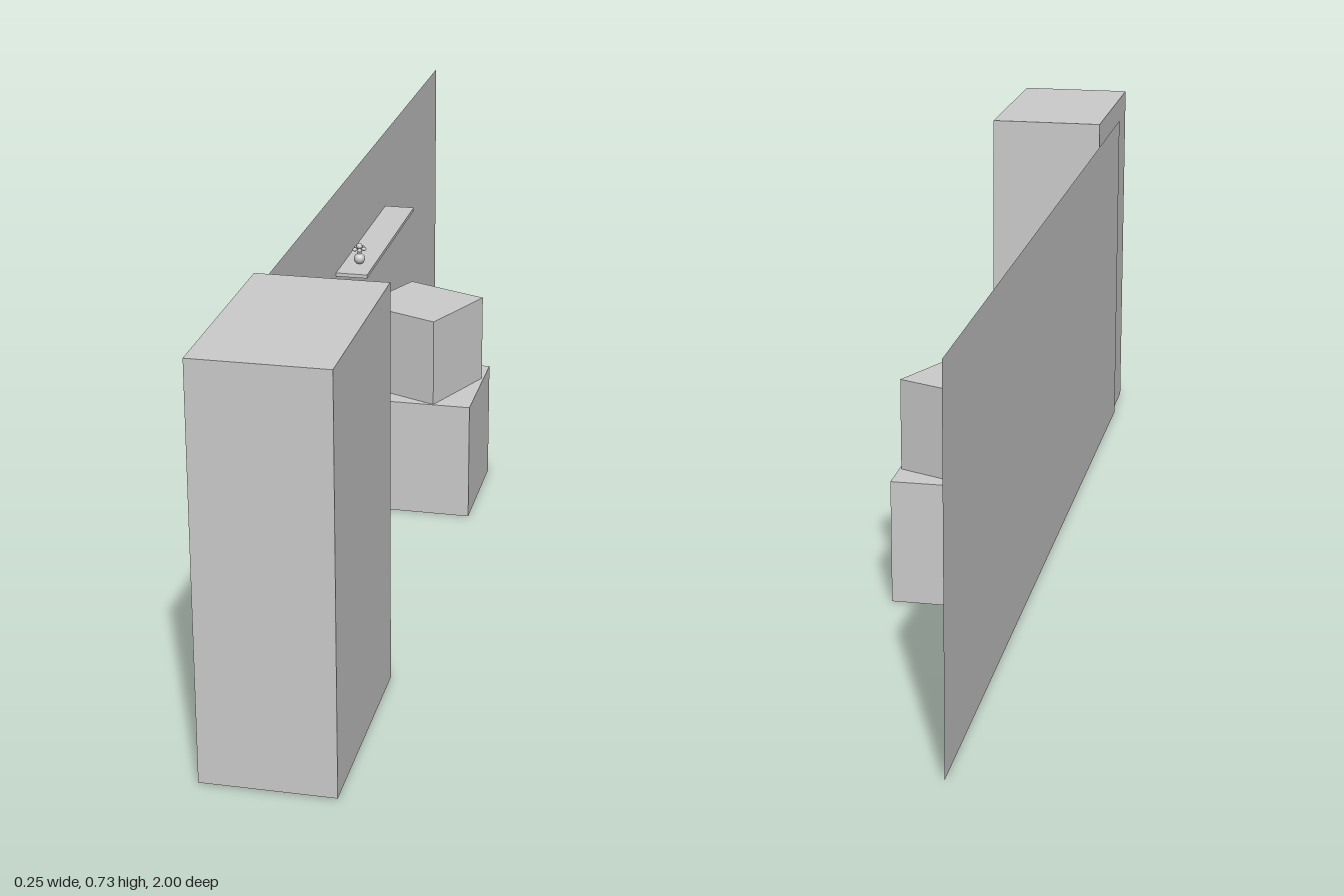
import * as THREE from 'three';

export function createModel() {
  const model = new THREE.Group();
  const grey = new THREE.MeshStandardMaterial({ color: 0xcccccc });
  grey.name = 'light grey';
  const greySheet = new THREE.MeshStandardMaterial({ color: 0xcccccc, side: THREE.DoubleSide });
  greySheet.name = 'light grey sheet';

  const add = (name, geometry, x, y, z, parent = model, material = grey) => {
    const mesh = new THREE.Mesh(geometry, material);
    mesh.name = name;
    mesh.position.set(x, y, z);
    parent.add(mesh);
    return mesh;
  };
  // Box given by its minimum and maximum corners
  const box = (name, [x0, y0, z0], [x1, y1, z1]) =>
    add(name, new THREE.BoxGeometry(x1 - x0, y1 - y0, z1 - z0),
      (x0 + x1) / 2, (y0 + y1) / 2, (z0 + z1) / 2);

  // Wall: a single sheet in the yz plane
  const wall = add('wall', new THREE.PlaneGeometry(1.86, 0.688), -0.1245, 0.347, -0.07, model, greySheet);
  wall.rotation.y = Math.PI / 2;

  // Tall cabinet and wall shelf
  box('cabinet', [-0.118, 0.003, 0.6], [0.112, 0.732, 1]);
  box('shelf', [-0.124, 0.524, -0.445], [-0.063, 0.531, 0]);

  // Two stacked cubes, the upper one turned
  box('lowerCube', [-0.109, 0, -0.32], [0.124, 0.237, -0.087]);
  const upper = add('upperCube', new THREE.BoxGeometry(0.175, 0.175, 0.175), 0.005, 0.3245, -0.204);
  upper.rotation.y = -0.41;

  // Round wall disc
  const disc = add('wallDisc', new THREE.CylinderGeometry(0.055, 0.055, 0.007, 40), -0.1205, 0.551, 0.315);
  disc.rotation.z = Math.PI / 2;

  // Small ornament on the shelf: round base, stem and leaves
  const ornament = new THREE.Group();
  ornament.name = 'ornament';
  ornament.position.set(-0.093, 0.531, -0.066);
  model.add(ornament);
  add('ornamentBase', new THREE.SphereGeometry(0.011, 16, 10), 0, 0.01, 0, ornament);
  add('ornamentStem', new THREE.CylinderGeometry(0.004, 0.004, 0.014, 8), 0, 0.024, 0, ornament);
  for (let i = 0; i < 5; i++) {
    const a = (i / 5) * Math.PI * 2;
    const leaf = add('ornamentLeaf', new THREE.SphereGeometry(0.005, 8, 6),
      Math.cos(a) * 0.009, 0.03, Math.sin(a) * 0.012, ornament);
    leaf.scale.set(1, 0.7, 1.2);
  }
  add('ornamentTip', new THREE.SphereGeometry(0.006, 10, 8), 0, 0.035, 0, ornament);

  return model;
}
